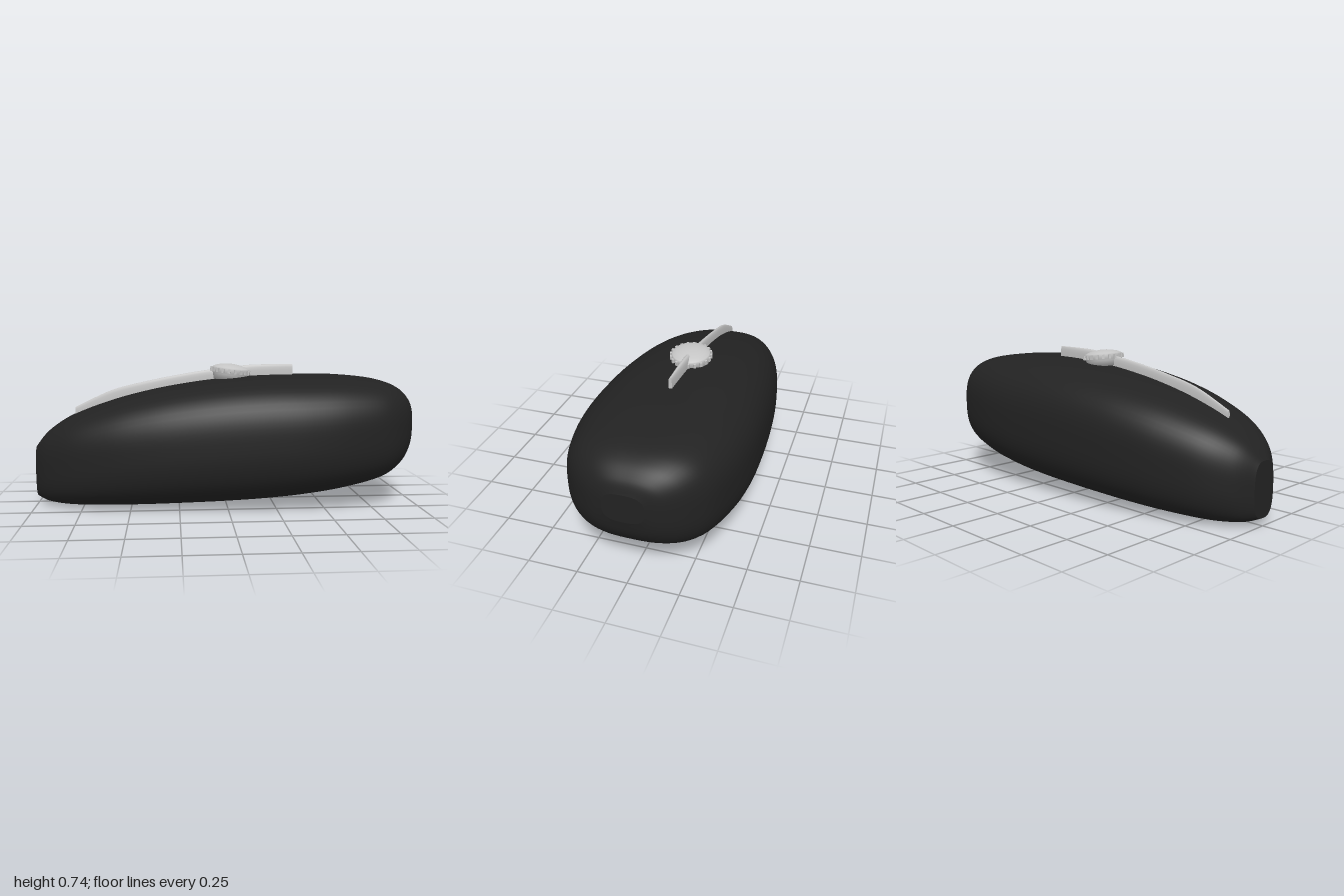
import * as THREE from 'three';

// Loft of superellipse sections along x; rows are [x, top, bottom, halfWidth]
function loft(rows, power, steps, sides) {
  const tracks = [1, 2, 3].map(k => new THREE.SplineCurve(rows.map(r => new THREE.Vector2(r[0], r[k]))));
  const pos = [], index = [];
  const rings = [];
  for (let i = 0; i <= steps; i++) {
    const [top, bottom, half] = tracks.map(c => c.getPoint(i / steps));
    const mid = (top.y + bottom.y) / 2, h = (top.y - bottom.y) / 2;
    const ring = [];
    for (let j = 0; j < sides; j++) {
      const a = (j / sides) * Math.PI * 2, c = Math.cos(a), s = Math.sin(a);
      const r = Math.pow(Math.abs(c) ** power + Math.abs(s) ** power, -1 / power);
      ring.push([top.x, mid + h * r * s, half.y * r * c]);
    }
    rings.push(ring);
    pos.push(...ring.flat());
  }
  for (let i = 0; i < steps; i++) {
    for (let j = 0; j < sides; j++) {
      const k = (j + 1) % sides;
      const a = i * sides + j, b = i * sides + k;
      index.push(a, a + sides, b, b, a + sides, b + sides);
    }
  }
  // Flat end faces
  [0, steps].forEach(i => {
    const base = pos.length / 3;
    pos.push(...rings[i].flat());
    for (let j = 1; j < sides - 1; j++) {
      if (i === 0) index.push(base, base + j, base + j + 1);
      else index.push(base, base + j + 1, base + j);
    }
  });
  const g = new THREE.BufferGeometry();
  g.setAttribute('position', new THREE.Float32BufferAttribute(pos, 3));
  g.setIndex(index);
  g.computeVertexNormals();
  return g;
}

export function createModel() {
  const black = new THREE.MeshStandardMaterial({ color: 0x222222 });
  black.name = 'black paint';
  const silver = new THREE.MeshStandardMaterial({ color: 0xc4c4c4 });
  silver.name = 'silver metal';

  const model = new THREE.Group();
  model.name = 'fuelTank';
  const add = (parent, name, geometry, material) => {
    const mesh = new THREE.Mesh(geometry, material);
    mesh.name = name;
    parent.add(mesh);
    return mesh;
  };

  // Tank body
  add(model, 'tankBody', loft([
    [-1, 0.31, 0.04, 0.075],
    [-0.93, 0.393, 0.015, 0.165],
    [-0.8, 0.475, 0.003, 0.258],
    [-0.6, 0.55, 0.004, 0.335],
    [-0.4, 0.603, 0.009, 0.382],
    [-0.2, 0.64, 0.016, 0.41],
    [0, 0.665, 0.024, 0.427],
    [0.2, 0.678, 0.036, 0.436],
    [0.4, 0.68, 0.055, 0.435],
    [0.6, 0.677, 0.084, 0.412],
    [0.8, 0.657, 0.13, 0.357],
    [0.91, 0.62, 0.19, 0.277],
    [0.975, 0.562, 0.27, 0.182],
    [1, 0.5, 0.355, 0.1],
  ], 2.9, 78, 72), black);

  // Raised trim along the top centre line
  add(model, 'topTrim', loft([
    [-0.795, 0.512, 0.44, 0.007],
    [-0.6, 0.602, 0.49, 0.01],
    [-0.4, 0.652, 0.55, 0.012],
    [-0.2, 0.69, 0.6, 0.013],
    [-0.03, 0.715, 0.63, 0.015],
    [0.1, 0.73, 0.64, 0.016],
    [0.2, 0.735, 0.645, 0.014],
    [0.365, 0.736, 0.645, 0.009],
  ], 3, 42, 20), silver);

  // Filler cap, tilted to follow the tank
  const cap = new THREE.Group();
  cap.name = 'fillerCap';
  cap.position.set(0.03, 0.682, 0);
  cap.rotation.z = -0.12;
  model.add(cap);
  const profile = [
    [0, -0.03], [0.09, -0.03], [0.094, 0], [0.1, 0.008], [0.102, 0.028],
    [0.096, 0.036], [0.075, 0.046], [0.045, 0.053], [0.02, 0.056], [0, 0.0565],
  ].map(p => new THREE.Vector2(...p));
  add(cap, 'capDome', new THREE.LatheGeometry(profile, 48), silver);

  // Grip ridges around the rim
  const ridge = new THREE.BoxGeometry(0.016, 0.022, 0.013);
  const count = 20;
  for (let i = 0; i < count; i++) {
    const a = ((i + 0.5) / count) * Math.PI * 2;
    const m = add(cap, 'gripRidge', ridge, silver);
    m.position.set(Math.cos(a) * 0.102, 0.019, Math.sin(a) * 0.102);
    m.rotation.y = -a;
  }
  return model;
}
